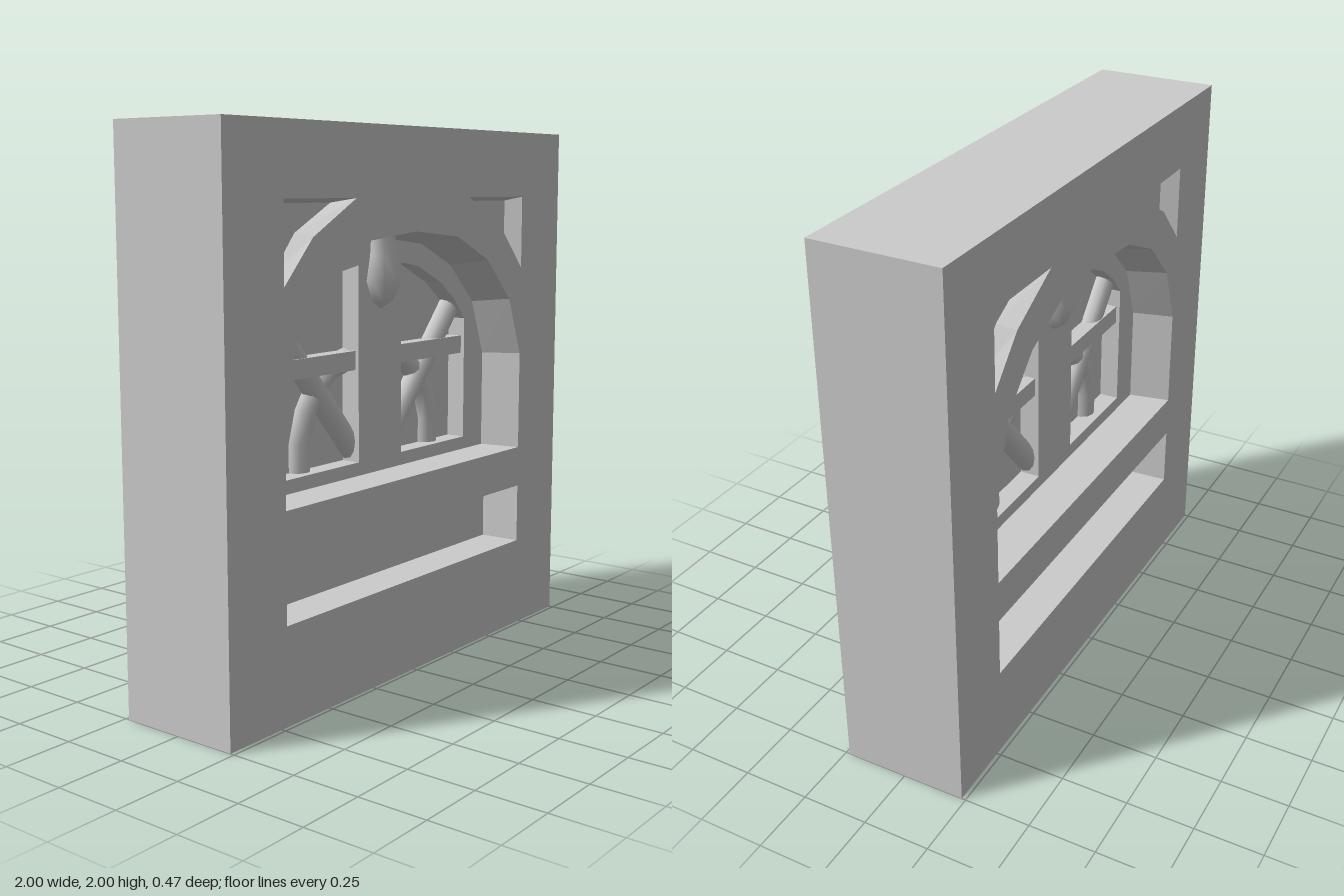
import * as THREE from 'three';

const MAT = new THREE.MeshStandardMaterial({ color: 0xcccccc, flatShading: true });
const SMOOTH = new THREE.MeshStandardMaterial({ color: 0xcccccc });

const FACE = 0.235;   // outer wall face
const FRAME = 0.075;  // recessed frame and slot floor
const PIT = 0.165;    // floor of the corner pits

function add(parent, name, geometry, material = MAT) {
  const mesh = new THREE.Mesh(geometry, material);
  mesh.name = name;
  parent.add(mesh);
  return mesh;
}

const toShape = (pts) => new THREE.Shape(pts.map(([x, y]) => new THREE.Vector2(x, y)));
const mirror = (pts) => pts.map(([x, y]) => [-x, y]).reverse();
const rect = (x, y0, y1) => [[-x, y0], [x, y0], [x, y1], [-x, y1]];

// Counter-clockwise arch outline from its right half and apex height
const arch = (half, top) => [...half, [0, top], ...mirror(half)];

// Flat plate at depth z, with optional holes
function plate(outline, z, holes = []) {
  const shape = toShape(outline);
  shape.holes = holes.map(toShape);
  return new THREE.ShapeGeometry(shape).translate(0, 0, z);
}

// Inward-facing wall between two counter-clockwise outlines
function walls(front, zf, back, zb) {
  const pos = [];
  front.forEach((a, i) => {
    const j = (i + 1) % front.length;
    const b = front[j], c = back[i], d = back[j];
    pos.push(...a, zf, ...b, zf, ...c, zb, ...b, zf, ...d, zb, ...c, zb);
  });
  const g = new THREE.BufferGeometry();
  g.setAttribute('position', new THREE.Float32BufferAttribute(pos, 3));
  g.computeVertexNormals();
  return g;
}

const archFront = arch([[0.72, 0.74], [0.72, 1.125], [0.635, 1.35], [0.475, 1.51], [0.265, 1.605]], 1.63);
const archBack = arch([[0.69, 0.74], [0.69, 1.12], [0.61, 1.335], [0.455, 1.485], [0.258, 1.575]], 1.605);
const opening = arch([[0.555, 0.79], [0.555, 1.27], [0.49, 1.345], [0.39, 1.42], [0.24, 1.49], [0.13, 1.51]], 1.515);
const slotFront = rect(0.72, 0.35, 0.58);
const slotBack = rect(0.713, 0.35, 0.58);
const pitFront = [[-0.72, 1.75], [-0.72, 1.47], [-0.575, 1.625], [-0.345, 1.75]];
const pitBack = [[-0.7, 1.735], [-0.7, 1.505], [-0.587, 1.638], [-0.4, 1.735]];

function createSide() {
  const side = new THREE.Group();

  // Wall face with its recesses
  add(side, 'wallFace', plate(rect(1, 0, 2), FACE, [archFront, slotFront, pitFront, mirror(pitFront)]));
  add(side, 'archReveal', walls(archFront, FACE, archBack, FRAME));
  add(side, 'slotReveal', walls(slotFront, FACE, slotBack, FRAME));
  add(side, 'slotFloor', plate(slotBack, FRAME));
  for (const [label, flip] of [['right', (p) => p], ['left', mirror]]) {
    add(side, label + 'CornerPitWalls', walls(flip(pitFront), FACE, flip(pitBack), PIT));
    add(side, label + 'CornerPitFloor', plate(flip(pitBack), PIT));
  }

  // Window frame, middle panel and centre post
  add(side, 'windowFrame', plate(archBack, FRAME, [opening]));
  add(side, 'windowReveal', walls(opening, FRAME, opening, 0));
  add(side, 'windowPanel', plate(opening, 0));
  add(side, 'centrePost', new THREE.BoxGeometry(0.26, 0.725, FRAME).translate(0, 1.1525, FRAME / 2));

  // Crossbar, diagonal brace and bent brace on each half
  for (const s of [-1, 1]) {
    const label = s < 0 ? 'right' : 'left';
    add(side, label + 'Crossbar', new THREE.BoxGeometry(0.425, 0.07, 0.06).translate(s * 0.3425, 1.165, 0.03));

    const low = new THREE.Vector3(s * 0.1, 0.83, 0.012);
    const high = new THREE.Vector3(s * 0.565, 1.362, 0.012);
    const brace = add(side, label + 'DiagonalBrace',
      new THREE.CylinderGeometry(0.046, 0.046, low.distanceTo(high), 12), SMOOTH);
    brace.position.lerpVectors(low, high, 0.5);
    brace.quaternion.setFromUnitVectors(new THREE.Vector3(0, 1, 0), high.clone().sub(low).normalize());

    const bend = new THREE.CatmullRomCurve3([[0.39, 0.78], [0.385, 0.92], [0.32, 1.06], [0.22, 1.14], [0.1, 1.168]]
      .map(([x, y]) => new THREE.Vector3(s * x, y, 0)));
    add(side, label + 'BentBrace', new THREE.TubeGeometry(bend, 5, 0.047, 10), SMOOTH);
  }

  // Hanging keystone at the top of the post
  const profile = [[0, 1.345], [0.05, 1.375], [0.088, 1.45], [0.066, 1.54], [0.06, 1.61]]
    .map(([r, y]) => new THREE.Vector2(r, y));
  const keystone = add(side, 'keystone', new THREE.LatheGeometry(profile, 10), SMOOTH);
  keystone.scale.z = 0.85;
  keystone.position.z = FRAME;
  return side;
}

export function createModel() {
  const model = new THREE.Group();
  model.name = 'archedWallBlock';

  // Block sides (reversed outline faces outward)
  const outer = rect(1, 0, 2).reverse();
  add(model, 'blockSides', walls(outer, FACE, outer, -FACE));

  // Matching faces on front and back
  const front = createSide();
  front.name = 'frontSide';
  const back = createSide();
  back.name = 'backSide';
  back.rotation.y = Math.PI;
  model.add(front, back);
  return model;
}
